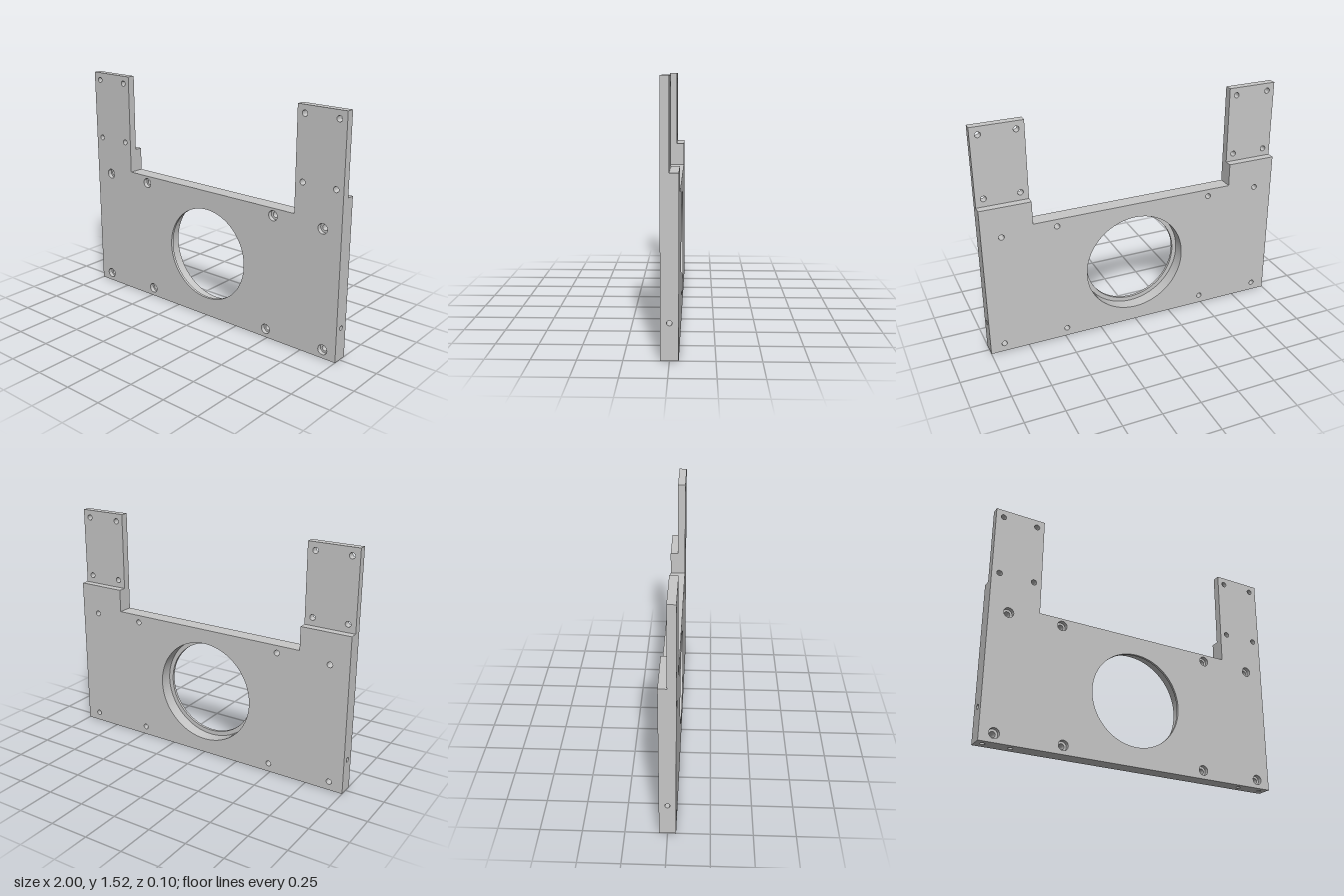
import * as THREE from 'three';
import { toCreasedNormals } from 'three/addons/utils/BufferGeometryUtils.js';

const F = 0.05, B = -0.05;              // front and back planes
const TOP = 1.517, STEP = 1.015, SADDLE = 0.865, INNER = 0.675;
const EYE = { x: 0, y: 0.434, r: 0.308, seat: 0.337, lip: 0.033 };
const ARM_R = 0.018, SCREW_R = 0.018, HEAD_R = 0.032, HEAD_Z = 0.022, PIN_R = 0.015;

const mirrored = (list) => list.flatMap(([x, y]) => [[x, y], [-x, y]]);
const armHoles = mirrored([[0.725, 1.467], [0.95, 1.467], [0.725, 1.066], [0.95, 1.066]]);
const screwHoles = mirrored([[0.874, 0.817], [0.523, 0.817], [0.909, 0.056], [0.487, 0.056]]);
const bottomPins = mirrored([[0.955, 0], [0.79, 0]]);
const SIDE_PIN_Y = 0.21;

const segments = (r) => (r > 0.1 ? 96 : 24);

export function createModel() {
  const group = new THREE.Group();
  group.name = 'mountingPlate';
  const grey = new THREE.MeshStandardMaterial({ color: 0xc7c7c7 });
  grey.name = 'light grey';

  const add = (name, geometry, x = 0, y = 0, z = 0) => {
    const mesh = new THREE.Mesh(geometry, grey);
    mesh.name = name;
    mesh.position.set(x, y, z);
    group.add(mesh);
  };

  // Flat face with round holes given as [x, y, radius]
  const panel = (outline, holes = []) => {
    const shape = new THREE.Shape(outline.map(([x, y]) => new THREE.Vector2(x, y)));
    for (const [x, y, r] of holes) {
      const n = segments(r);
      shape.holes.push(new THREE.Path(Array.from({ length: n }, (_, i) => {
        const a = (i / n) * Math.PI * 2;
        return new THREE.Vector2(x + r * Math.cos(a), y + r * Math.sin(a));
      })));
    }
    return new THREE.ShapeGeometry(shape);
  };
  const rect = (x0, x1, y0, y1) => [[x0, y0], [x1, y0], [x1, y1], [x0, y1]];

  // Inner wall of a hole, profile runs [radius, height] from mouth inward
  const bore = (profile) => toCreasedNormals(new THREE.LatheGeometry(
    profile.map(([r, y]) => new THREE.Vector2(r, y)), segments(profile[0][0])), 0.6);

  // U-shaped outline up to a chosen arm height
  const outline = (h) => [[-1, 0], [1, 0], [1, h], [INNER, h], [INNER, SADDLE],
    [-INNER, SADDLE], [-INNER, h], [-1, h]];
  const withRadius = (list, r) => list.map(([x, y]) => [x, y, r]);

  // Front and back faces
  add('frontFace', panel(outline(TOP), [
    [EYE.x, EYE.y, EYE.r], ...withRadius(armHoles, ARM_R), ...withRadius(screwHoles, HEAD_R),
  ]), 0, 0, F);
  add('backFace', panel(outline(STEP), [
    [EYE.x, EYE.y, EYE.seat], ...withRadius(screwHoles, SCREW_R),
  ]).rotateY(Math.PI), 0, 0, B);

  // Underside and saddle between the arms
  add('underside', panel(rect(-1, 1, B, F), withRadius(bottomPins, PIN_R)).rotateX(Math.PI / 2));
  add('saddle', panel(rect(-INNER, INNER, B, F)).rotateX(-Math.PI / 2), 0, SADDLE, 0);

  // Stepped edge profile in z and y, turned to face left or right
  const edge = (y0, facing, holes) => panel(
    [[F, y0], [F, TOP], [0, TOP], [0, STEP], [B, STEP], [B, y0]].map(([z, y]) => [-facing * z, y]),
    holes).rotateY(facing * Math.PI / 2);

  for (const s of [1, -1]) {
    const side = s > 0 ? 'left' : 'right';
    const [x0, x1] = s > 0 ? [INNER, 1] : [-1, -INNER];
    add(`${side}OuterEdge`, edge(0, s, [[0, SIDE_PIN_Y, PIN_R]]), s);
    add(`${side}InnerEdge`, edge(SADDLE, -s), s * INNER);
    // Half-thickness arm: back face, top and step ledge
    const holes = armHoles.filter(([x]) => x * s < 0);
    add(`${side}ArmBack`, panel(rect(-x1, -x0, STEP, TOP), withRadius(holes, ARM_R)).rotateY(Math.PI));
    add(`${side}ArmTop`, panel(rect(x0, x1, -F, 0)).rotateX(-Math.PI / 2), 0, TOP, 0);
    add(`${side}ArmLedge`, panel(rect(x0, x1, 0, -B)).rotateX(-Math.PI / 2), 0, STEP, 0);
    // Blind pin hole in the outer edge
    add(`${side}EdgePinHole`, bore([[PIN_R, 0], [PIN_R, -0.1], [0, -0.1]])
      .rotateZ(-s * Math.PI / 2), s, SIDE_PIN_Y, 0);
  }

  // Large opening with a wider seat cut from the back
  add('bearingSeat', bore([[EYE.r, F], [EYE.r, EYE.lip], [EYE.seat, EYE.lip], [EYE.seat, B]])
    .rotateX(Math.PI / 2), EYE.x, EYE.y, 0);

  // Through holes in the arms, counterbored screw holes, blind pins below
  for (const [x, y] of armHoles)
    add('armHole', bore([[ARM_R, F], [ARM_R, 0]]).rotateX(Math.PI / 2), x, y, 0);
  for (const [x, y] of screwHoles)
    add('screwHole', bore([[HEAD_R, F], [HEAD_R, HEAD_Z], [SCREW_R, HEAD_Z], [SCREW_R, B]])
      .rotateX(Math.PI / 2), x, y, 0);
  for (const [x] of bottomPins)
    add('bottomPinHole', bore([[PIN_R, 0], [PIN_R, -0.1], [0, -0.1]]).rotateX(Math.PI), x, 0, 0);

  return group;
}
